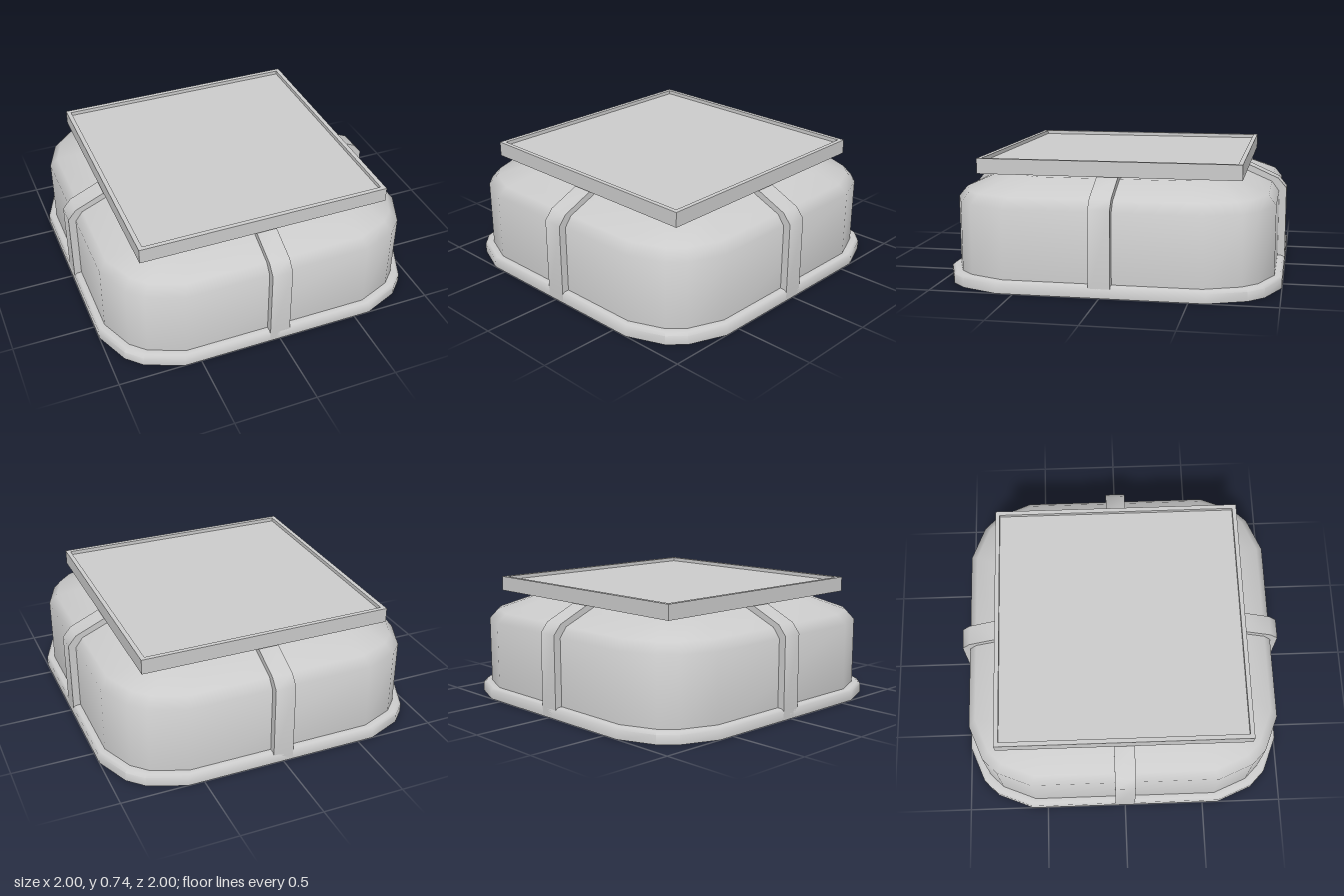
import * as THREE from 'three';
import { toCreasedNormals } from 'three/addons/utils/BufferGeometryUtils.js';

const material = new THREE.MeshStandardMaterial({ color: 0xcccccc });

// Square outline with chamfered corners, as [x, z] running from +x to +z
const corner = [[1, 0.6], [0.91, 0.82], [0.82, 0.91], [0.6, 1]];
const outline = [];
for (let q = 0; q < 4; q++) {
  for (const [x, z] of corner) {
    outline.push([[x, z], [-z, x], [-x, -z], [z, -x]][q]);
  }
}

// Closed solid from scaled copies of the outline; levels are [scale, y]
function loft(levels) {
  const n = outline.length;
  const positions = [];
  const index = [];
  for (const [s, y] of levels) {
    for (const [x, z] of outline) positions.push(x * s, y, z * s);
  }
  const bottom = positions.length / 3;
  positions.push(0, levels[0][1], 0, 0, levels[levels.length - 1][1], 0);
  const last = (levels.length - 1) * n;
  for (let i = 0; i < n; i++) {
    const j = (i + 1) % n;
    for (let k = 0; k < last; k += n) {
      index.push(k + i, k + n + i, k + j, k + j, k + n + i, k + n + j);
    }
    index.push(bottom, i, j, bottom + 1, last + j, last + i);
  }
  const geometry = new THREE.BufferGeometry();
  geometry.setAttribute('position', new THREE.Float32BufferAttribute(positions, 3));
  geometry.setIndex(index);
  return toCreasedNormals(geometry, 1);
}

export function createModel() {
  const model = new THREE.Group();
  model.name = 'model';
  const add = (name, geometry) => {
    const mesh = new THREE.Mesh(geometry, material);
    mesh.name = name;
    model.add(mesh);
    return mesh;
  };

  // Base plate that shows as a rim around the body
  add('baseRim', loft([[1, 0], [1, 0.055], [0.985, 0.068], [0.95, 0.07]]));

  // Cushion-like body with rounded shoulders
  add('body', loft([[0.955, 0.03], [0.955, 0.48], [0.91, 0.54], [0.70, 0.63]]));

  // Two straps crossing over the body
  const half = [[1, 0], [1, 0.5], [0.95, 0.56], [0.75, 0.65]];
  const points = [...half, ...half.map(([x, y]) => [-x, y]).reverse()];
  const strapShape = new THREE.Shape(points.map(([x, y]) => new THREE.Vector2(x, y)));
  const strapGeometry = toCreasedNormals(
    new THREE.ExtrudeGeometry(strapShape, { depth: 0.125, bevelEnabled: false })
      .translate(0, 0, -0.0625), 1);
  add('sideStrap', strapGeometry);
  add('frontStrap', strapGeometry).rotation.y = Math.PI / 2;

  // Square tray on top: raised frame around a sunken floor
  const square = (Type, h) => new Type([
    new THREE.Vector2(-h, -h), new THREE.Vector2(h, -h),
    new THREE.Vector2(h, h), new THREE.Vector2(-h, h),
  ]);
  const frame = square(THREE.Shape, 0.772);
  frame.holes.push(square(THREE.Path, 0.745));
  add('trayFrame', new THREE.ExtrudeGeometry(frame, { depth: 0.09, bevelEnabled: false })
    .rotateX(-Math.PI / 2).translate(0, 0.65, 0));
  add('trayFloor', new THREE.BoxGeometry(1.49, 0.066, 1.49).translate(0, 0.684, 0));

  return model;
}
